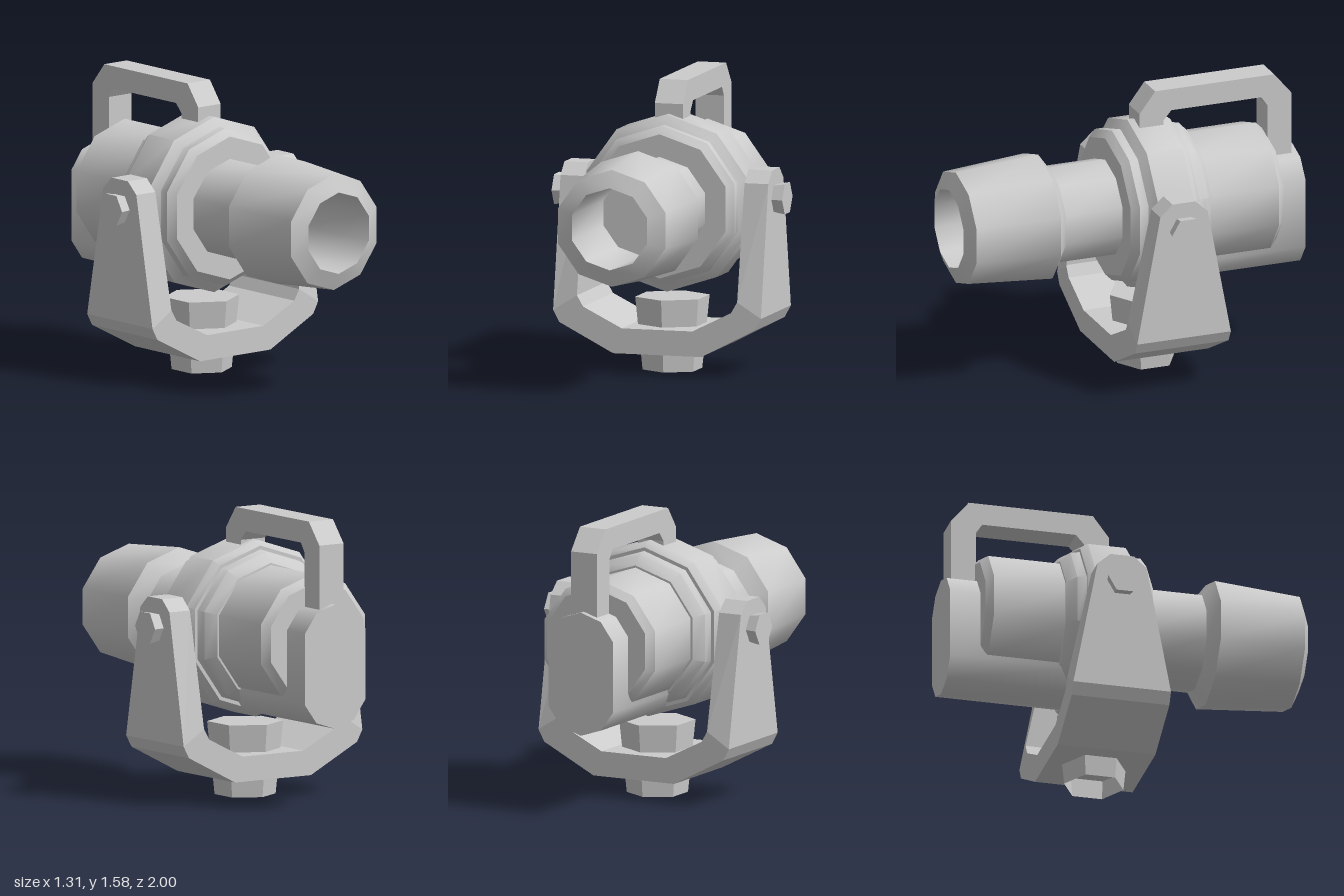
import * as THREE from 'three';
import { toCreasedNormals } from 'three/addons/utils/BufferGeometryUtils.js';

const AXIS_Y = 0.92;   // height of the barrel axis
const YOKE_Z = -0.137; // centre of the yoke and its bolts

const smooth = new THREE.MeshStandardMaterial({ color: 0xcccccc });
const flat = new THREE.MeshStandardMaterial({ color: 0xcccccc, flatShading: true });
const flatOpen = new THREE.MeshStandardMaterial({ color: 0xcccccc, flatShading: true, side: THREE.DoubleSide });

const vec = (pts) => pts.map(([x, y]) => new THREE.Vector2(x, y));

export function createModel() {
  const group = new THREE.Group();
  const add = (name, geometry, material) => {
    const mesh = new THREE.Mesh(geometry, material);
    mesh.name = name;
    group.add(mesh);
    return mesh;
  };

  // ten-sided turned parts along z; profile is [radius, z] from back to front
  const turned = (name, profile) => {
    const geo = new THREE.LatheGeometry(vec(profile), 10).rotateX(Math.PI / 2);
    add(name, toCreasedNormals(geo, 0.7), smooth).position.y = AXIS_Y;
  };
  turned('rearBody', [[0, -0.83], [0.32, -0.83], [0.36, -0.79], [0.36, -0.3]]);
  turned('collar', [
    [0.3, -0.39], [0.372, -0.39], [0.425, -0.34], [0.435, -0.29], [0.455, -0.29], [0.485, -0.25],
    [0.485, -0.04], [0.435, 0], [0.435, 0.05], [0.395, 0.09], [0, 0.09],
  ]);
  turned('nozzle', [
    [0.272, 0], [0.272, 0.42], [0.357, 0.48], [0.32, 0.96], [0.225, 1], [0.225, 0.42], [0, 0.42],
  ]);

  // rear block: a decagon stretched upright, running forward into the collar
  const outline = [];
  for (const [y, start] of [[0.925, 18], [0.665, 198]]) {
    for (let i = 0; i < 5; i++) {
      const a = THREE.MathUtils.degToRad(start + 36 * i);
      outline.push([0.21 * Math.cos(a), y + 0.21 * Math.sin(a)]);
    }
  }
  const block = new THREE.ExtrudeGeometry(new THREE.Shape(vec(outline)), { depth: 0.7, bevelEnabled: false });
  add('rearBlock', toCreasedNormals(block.translate(0, 0, -1), 0.7), smooth);

  // carrying handle, drawn as [-z, y] and extruded across x
  const handle = new THREE.ExtrudeGeometry(new THREE.Shape(vec([
    [0.08, 1.3], [0.22, 1.3], [0.22, 1.405], [0.265, 1.457], [0.79, 1.457], [0.825, 1.405],
    [0.825, 1.02], [0.965, 1.02], [0.965, 1.46], [0.865, 1.58], [0.17, 1.58], [0.08, 1.46],
  ])), { depth: 0.16, bevelEnabled: false });
  add('handle', handle.translate(0, 0, -0.08).rotateY(Math.PI / 2), flat);

  // U-shaped yoke: [outer x, outer y, inner x, inner y, half depth], top of arm to base
  const half = [
    [0.59, 1.12, 0.455, 1.12, 0.067],
    [0.59, 1.055, 0.455, 1.055, 0.138],
    [0.59, 0.335, 0.455, 0.42, 0.273],
    [0.555, 0.27, 0.42, 0.36, 0.273],
    [0.25, 0.112, 0.2, 0.25, 0.273],
  ];
  const mirrored = half.map(([ox, oy, ix, iy, d]) => [-ox, oy, -ix, iy, d]).reverse();
  const sections = [...half, ...mirrored];
  const pos = [];
  const index = [];
  sections.forEach(([ox, oy, ix, iy, d], i) => {
    pos.push(ox, oy, d, ix, iy, d, ix, iy, -d, ox, oy, -d);
    if (i === sections.length - 1) return;
    for (let k = 0; k < 4; k++) {
      const a = i * 4 + k, b = i * 4 + (k + 1) % 4;
      index.push(a, b, b + 4, a, b + 4, a + 4);
    }
  });
  const e = (sections.length - 1) * 4;
  index.push(0, 2, 1, 0, 3, 2, e, e + 1, e + 2, e, e + 2, e + 3);
  const yoke = new THREE.BufferGeometry();
  yoke.setAttribute('position', new THREE.Float32BufferAttribute(pos, 3));
  yoke.setIndex(index);
  yoke.computeVertexNormals();
  add('yoke', yoke, flat).position.z = YOKE_Z;

  // flared hexagonal pivot bolts
  for (const [name, s] of [['leftPivotBolt', 1], ['rightPivotBolt', -1]]) {
    const bolt = new THREE.CylinderGeometry(0.095, 0.079, 0.085, 6).rotateZ(-s * Math.PI / 2);
    add(name, bolt, flat).position.set(s * 0.6125, 0.962, YOKE_Z);
  }

  // tapered mounting bolt: hollow underneath, capped on top
  const base = new THREE.CylinderGeometry(0.207, 0.166, 0.4, 6, 1, true);
  add('mountingBolt', base, flatOpen).position.set(0, 0.2, YOKE_Z - 0.008);
  const cap = new THREE.CircleGeometry(0.207, 6).rotateZ(Math.PI / 2).rotateX(-Math.PI / 2);
  add('mountingBoltCap', cap, flatOpen).position.set(0, 0.4, YOKE_Z - 0.008);

  return group;
}
